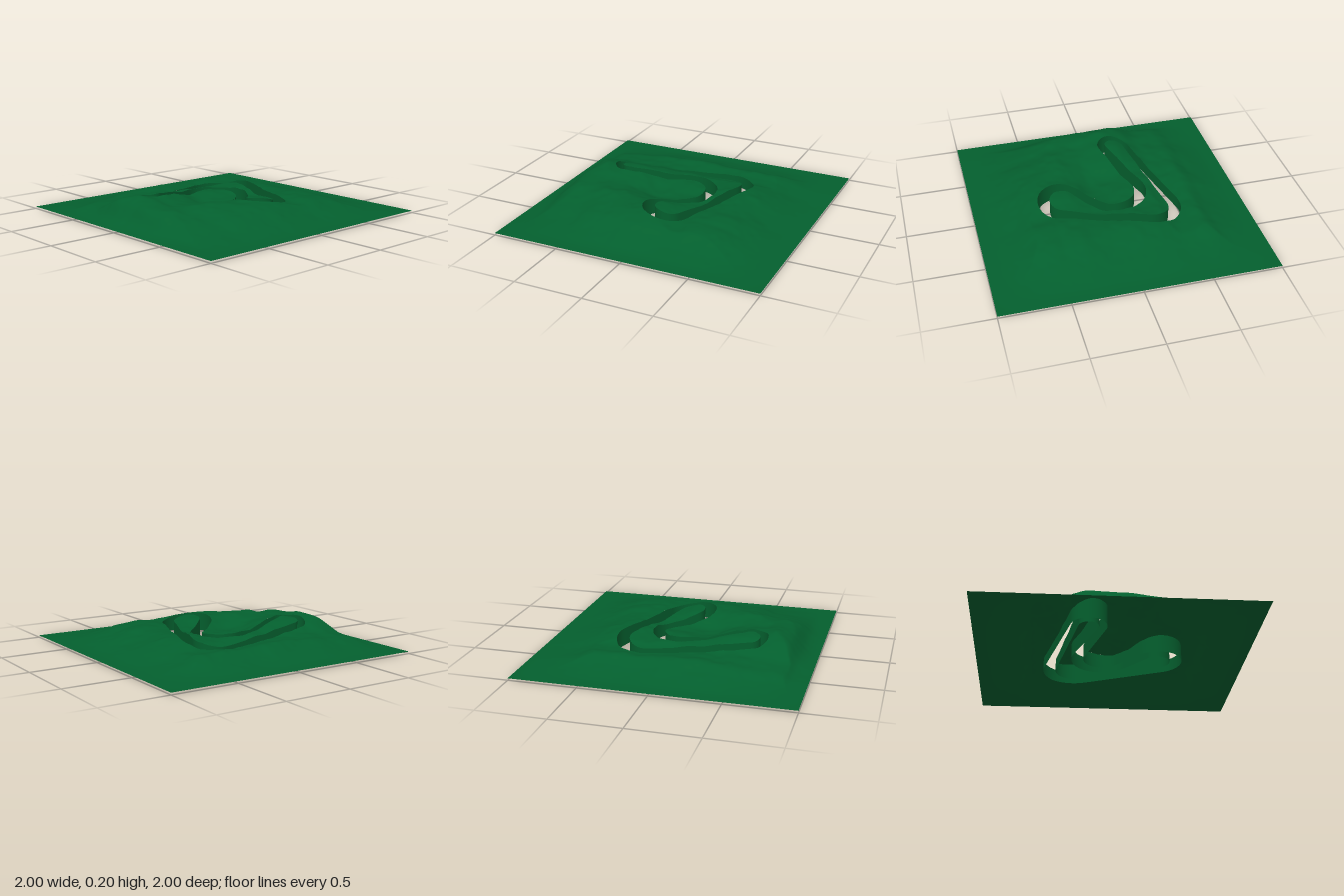
import * as THREE from 'three';

const BASE = 0.015, CELLS = 150;
const { lerp, clamp, smoothstep } = THREE.MathUtils;

// Hill profiles across x and z, sampled every 0.1 from -1 to 1
const PROFILE_X = [0, .007, .035, .072, .11, .1, .1, .135, .165, .18, .165, .15, .16, .18, .17, .155, .13, .085, .046, .01, 0];
const PROFILE_Z = [0, .007, .03, .06, .09, .115, .125, .125, .12, .135, .155, .16, .155, .17, .18, .18, .165, .18, .145, .042, 0];

function sample(table, t) {
  const u = clamp((t + 1) * 10, 0, 20);
  const i = Math.min(19, Math.floor(u)), f = u - i;
  const at = k => table[clamp(k, 0, 20)];
  const a = at(i - 1), b = at(i), c = at(i + 1), d = at(i + 2);
  return Math.max(0, b + 0.5 * f * (c - a + f * (2 * a - 5 * b + 4 * c - d + f * (3 * (b - c) + d - a))));
}

// Seeded value noise for the rough ground
function hash(i, j) {
  const s = Math.sin(i * 127.1 + j * 311.7) * 43758.5453;
  return s - Math.floor(s);
}
function noise(x, z) {
  const i = Math.floor(x), j = Math.floor(z);
  const u = smoothstep(x - i, 0, 1), v = smoothstep(z - j, 0, 1);
  return lerp(lerp(hash(i, j), hash(i + 1, j), u), lerp(hash(i, j + 1), hash(i + 1, j + 1), u), v) - 0.5;
}

function height(x, z) {
  const a = sample(PROFILE_X, x), b = sample(PROFILE_Z, z), low = Math.min(a, b);
  let hill = lerp(a * b / 0.18, low, 0.5 * smoothstep(low, 0.04, 0.13));
  // Rounded front corners
  hill *= 1 - 0.7 * smoothstep(z, 0.1, 0.9) * smoothstep(Math.abs(x + 0.08), 0.1, 0.75);
  // Hollow between the two arms of the slot
  hill -= 0.075 * Math.exp(-((x - 0.01) ** 2 + (z - 0.12) ** 2) / 0.07) * Math.min(1, hill / 0.1);
  const rough = noise(x * 9, z * 9) * 0.012 + noise(x * 20 + 5, z * 20) * 0.006;
  return BASE + hill + rough * Math.min(1, hill / 0.1);
}

function normal(x, z) {
  const e = 0.008;
  return new THREE.Vector3(height(x - e, z) - height(x + e, z), 2 * e, height(x, z - e) - height(x, z + e)).normalize();
}

// Closed outline wrapped round circles [x, z, radius]; a negative radius bends the other way
function beltOutline(circles) {
  const n = circles.length, step = 0.0125, points = [];
  const tangent = circles.map(([x, z, r], i) => {
    const [x2, z2, r2] = circles[(i + 1) % n];
    return Math.atan2(z2 - z, x2 - x) - Math.acos((r - r2) / Math.hypot(x2 - x, z2 - z));
  });
  const on = ([x, z, r], a) => new THREE.Vector2(x + r * Math.cos(a), z + r * Math.sin(a));
  circles.forEach((c, i) => {
    const start = tangent[(i + n - 1) % n], full = Math.PI * 2;
    let sweep = (((tangent[i] - start) % full) + full) % full;
    if (c[2] < 0) sweep -= full;
    const arcSteps = Math.ceil(Math.abs(sweep * c[2]) / step);
    for (let k = 0; k < arcSteps; k++) points.push(on(c, start + sweep * k / arcSteps));
    const p = on(c, tangent[i]), q = on(circles[(i + 1) % n], tangent[i]);
    const lineSteps = Math.ceil(p.distanceTo(q) / step);
    for (let k = 0; k < lineSteps; k++) points.push(p.clone().lerp(q, k / lineSteps));
  });
  return points;
}

// Signed distance to a closed outline, negative inside
function signedDistance(points, x, z) {
  let best = Infinity, inside = false;
  for (let i = 0, j = points.length - 1; i < points.length; j = i++) {
    const a = points[j], b = points[i], dx = b.x - a.x, dz = b.y - a.y;
    const t = clamp(((x - a.x) * dx + (z - a.y) * dz) / (dx * dx + dz * dz), 0, 1);
    best = Math.min(best, Math.hypot(x - a.x - t * dx, z - a.y - t * dz));
    if ((a.y > z) !== (b.y > z) && x < a.x + (z - a.y) * dx / dz) inside = !inside;
  }
  return inside ? -best : best;
}

// Ground grid, with each triangle trimmed along the edge of the slot
function terrainGeometry(outer, inner) {
  const grid = [], position = [], normals = [];
  for (let j = 0; j <= CELLS; j++) for (let i = 0; i <= CELLS; i++) {
    const x = -1 + 2 * i / CELLS, z = -1 + 2 * j / CELLS;
    grid.push({ x, z, d: Math.max(signedDistance(outer, x, z), -signedDistance(inner, x, z)) });
  }
  const put = p => {
    position.push(p.x, height(p.x, p.z), p.z);
    normals.push(...normal(p.x, p.z).toArray());
  };
  const addTriangle = tri => {
    const kept = [];
    tri.forEach((a, i) => {
      const b = tri[(i + 1) % 3];
      if (a.d >= 0) kept.push(a);
      if ((a.d >= 0) !== (b.d >= 0)) {
        const t = a.d / (a.d - b.d);
        kept.push({ x: a.x + (b.x - a.x) * t, z: a.z + (b.z - a.z) * t });
      }
    });
    for (let k = 2; k < kept.length; k++) [kept[0], kept[k - 1], kept[k]].forEach(put);
  };
  for (let j = 0; j < CELLS; j++) for (let i = 0; i < CELLS; i++) {
    const k = j * (CELLS + 1) + i;
    const a = grid[k], b = grid[k + 1], c = grid[k + CELLS + 1], d = grid[k + CELLS + 2];
    addTriangle([a, c, b]);
    addTriangle([b, c, d]);
  }
  const g = new THREE.BufferGeometry();
  g.setAttribute('position', new THREE.Float32BufferAttribute(position, 3));
  g.setAttribute('normal', new THREE.Float32BufferAttribute(normals, 3));
  return g;
}

// Upright wall from the ground edge down to the gently sloping slot bottom
function wallGeometry(points) {
  const position = [], index = [], n = points.length;
  points.forEach((p, i) => {
    const bottom = 0.03 * Math.hypot(p.x + 0.43, p.y + 0.38);
    position.push(p.x, height(p.x, p.y), p.y, p.x, bottom, p.y);
    const a = 2 * i, b = 2 * ((i + 1) % n);
    index.push(a, b, a + 1, b, b + 1, a + 1);
  });
  const g = new THREE.BufferGeometry();
  g.setAttribute('position', new THREE.Float32BufferAttribute(position, 3));
  g.setIndex(index);
  g.computeVertexNormals();
  return g;
}

export function createModel() {
  const group = new THREE.Group();
  const material = new THREE.MeshStandardMaterial({ color: 0x045f2e, side: THREE.DoubleSide });

  // The slot winds round four bends: centre x, centre z, outer radius, inner radius
  const bends = [[-0.26, -0.21, 0.24, 0.148], [0.345, -0.05, 0.19, 0.1], [-0.06, 0, -0.145, -0.235], [-0.19, 0.52, 0.131, 0.073]];
  const outer = beltOutline(bends.map(([x, z, r]) => [x, z, r]));
  const inner = beltOutline(bends.map(([x, z, , r]) => [x, z, r]));

  const add = (name, geometry) => {
    const mesh = new THREE.Mesh(geometry, material);
    mesh.name = name;
    group.add(mesh);
  };
  add('terrain', terrainGeometry(outer, inner));
  add('outerTrackWall', wallGeometry(outer));
  add('innerTrackWall', wallGeometry(inner));
  return group;
}
